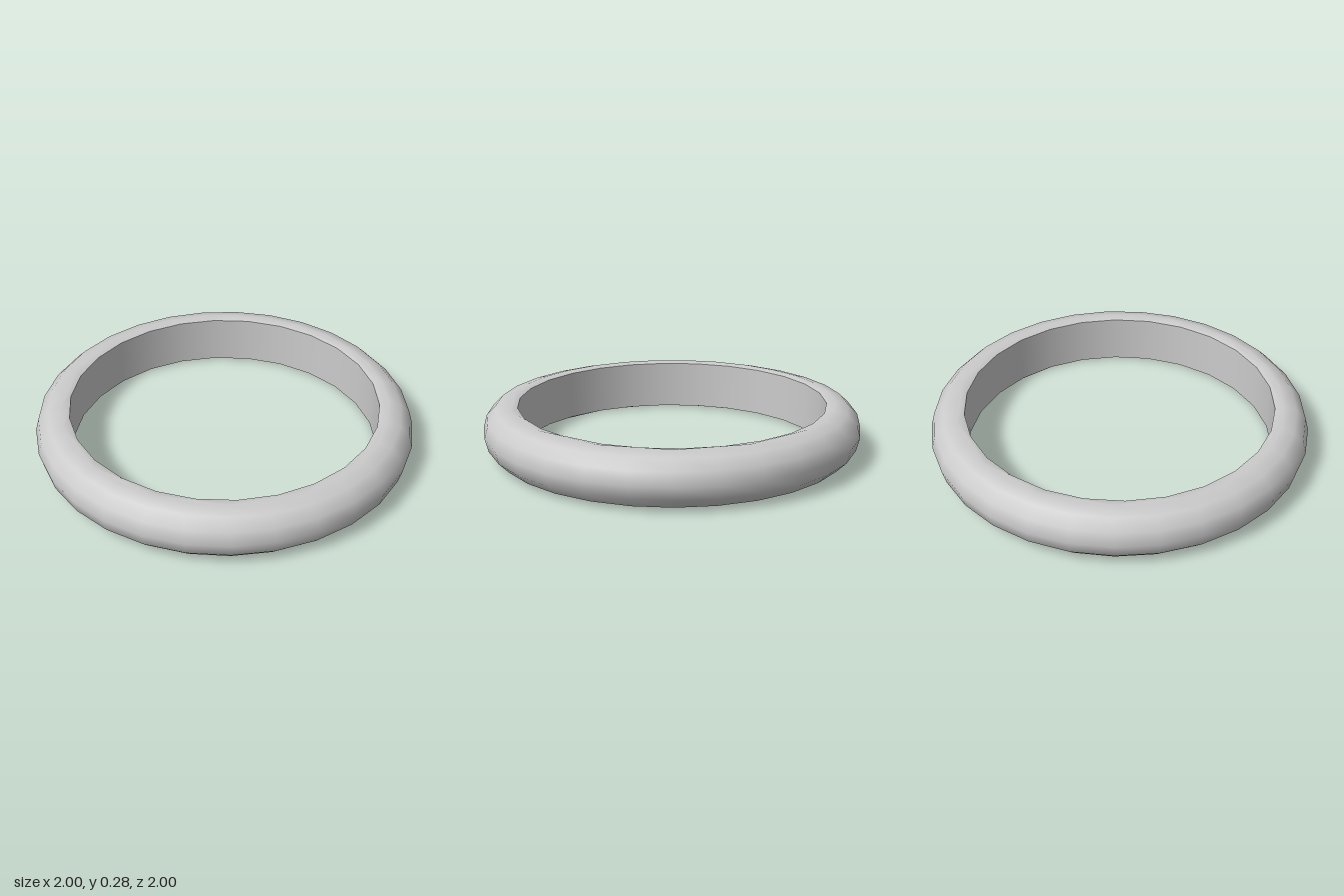
import * as THREE from 'three';

const R = 1.0015;        // outer radius of the band
const T = 0.139;         // radius of the rounded section
const C = R - T;         // radius of the section's centre line
const BORE = 0.818;      // radius of the finger hole
const RIM_Y = 0.13;      // half height of the bore wall
const OUTER_SIDES = 29, INNER_SIDES = 26;

// Corners of a regular polygon starting on +x
function ring(radius, sides) {
  return Array.from({ length: sides }, (_, i) => {
    const a = (i / sides) * Math.PI * 2;
    return new THREE.Vector2(radius * Math.cos(a), radius * Math.sin(a));
  });
}

// Smooth normals pointing away from the section's centre line
function roundNormals(geometry) {
  const p = geometry.attributes.position, n = new THREE.Vector3();
  for (let i = 0; i < p.count; i++) {
    const x = p.getX(i), z = p.getZ(i), r = Math.hypot(x, z), k = (r - C) / r;
    n.set(x * k, p.getY(i), z * k).normalize();
    geometry.attributes.normal.setXYZ(i, n.x, n.y, n.z);
  }
  return geometry;
}

// Rim between the outer polygon and the bore polygon; s = 1 top, -1 bottom
function rimGeometry(s) {
  const shape = new THREE.Shape(ring(C, OUTER_SIDES));
  shape.holes.push(new THREE.Path(ring(BORE, INNER_SIDES)));
  const g = new THREE.ShapeGeometry(shape);
  g.rotateX(-s * Math.PI / 2);
  const p = g.attributes.position;
  for (let i = 0; i < p.count; i++) {
    const r = Math.hypot(p.getX(i), p.getZ(i));
    p.setY(i, s * (r < (C + BORE) / 2 ? RIM_Y : T));
  }
  return roundNormals(g);
}

export function createModel() {
  const group = new THREE.Group();
  group.name = 'ringBand';
  const material = new THREE.MeshStandardMaterial({ color: 0xcccccc });
  const add = (name, geometry) => {
    const mesh = new THREE.Mesh(geometry, material);
    mesh.name = name;
    mesh.position.set(-0.003, T, 0);
    group.add(mesh);
  };

  // Rounded outside, a half circle in six steps
  const profile = [];
  for (let i = 0; i <= 6; i++) {
    const a = -Math.PI / 2 + (i * Math.PI) / 6;
    profile.push(new THREE.Vector2(C + T * Math.cos(a), T * Math.sin(a)));
  }
  add('outerBand', roundNormals(new THREE.LatheGeometry(profile, OUTER_SIDES, Math.PI / 2)));

  // Rims leading into the bore
  add('topRim', rimGeometry(1));
  add('bottomRim', rimGeometry(-1));

  // Straight inner wall
  const wall = [new THREE.Vector2(BORE, RIM_Y), new THREE.Vector2(BORE, -RIM_Y)];
  add('innerWall', new THREE.LatheGeometry(wall, INNER_SIDES, Math.PI / 2));

  return group;
}
